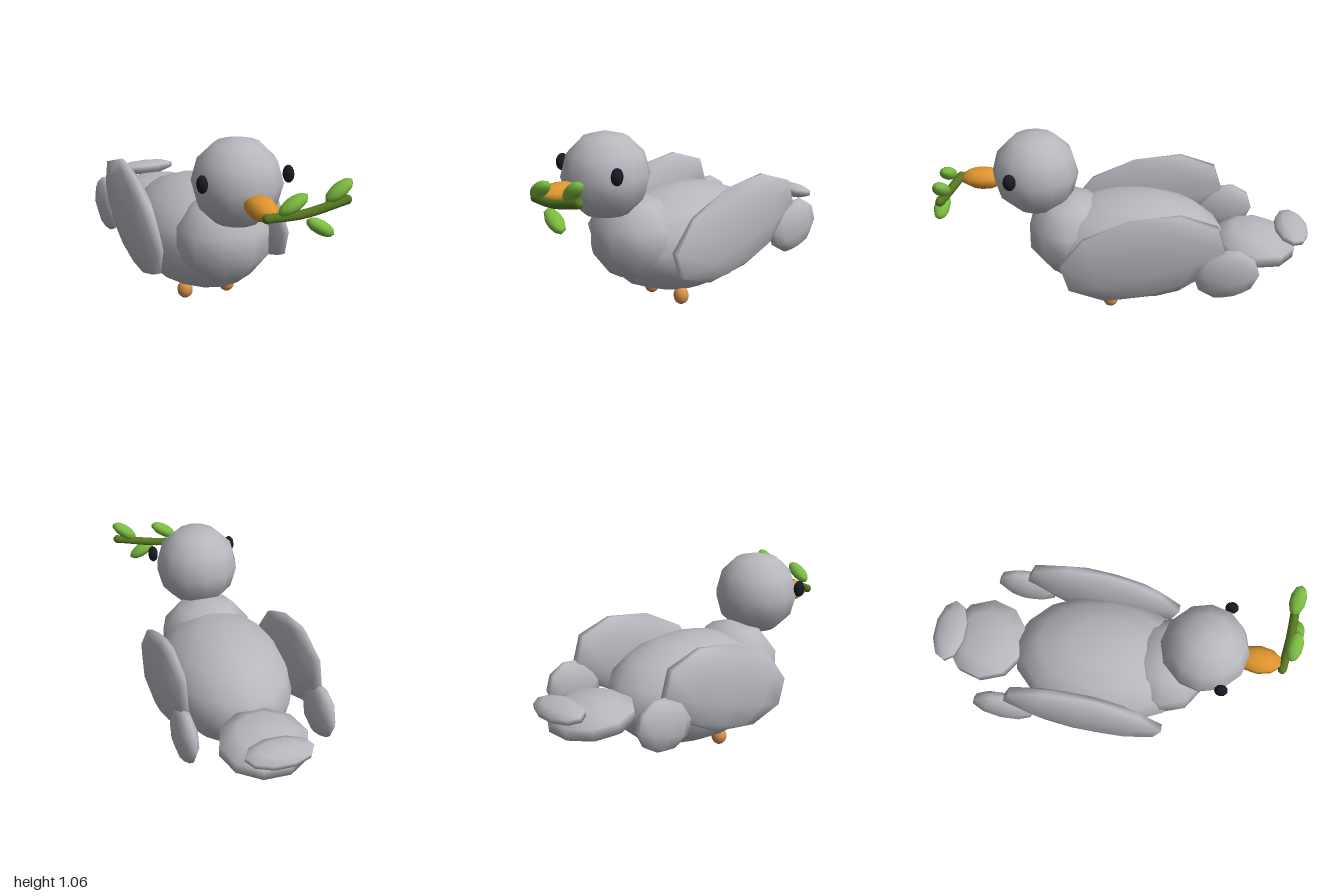
import * as THREE from 'three';

const mat = (name, color) => {
  const m = new THREE.MeshStandardMaterial({ color });
  m.name = name;
  return m;
};

export function createModel() {
  const model = new THREE.Group();
  model.name = 'bird';
  const grey = mat('feather grey', 0xb6b8be);
  const orange = mat('beak orange', 0xe0962e);
  const tan = mat('foot orange', 0xd9924c);
  const black = mat('eye black', 0x191a24);
  const leafGreen = mat('leaf green', 0x7cbc40);
  const twigGreen = mat('twig green', 0x567720);

  // Low-segment smooth ellipsoid: position, radii, rotation, segments
  const blob = (parent, name, material, pos, radii, rot = [0, 0, 0], w = 10, h = 5) => {
    const mesh = new THREE.Mesh(new THREE.SphereGeometry(1, w, h), material);
    mesh.name = name;
    mesh.position.set(...pos);
    mesh.scale.set(...radii);
    mesh.rotation.set(...rot);
    parent.add(mesh);
  };

  // The bird stands turned a little towards its left
  const bird = new THREE.Group();
  bird.name = 'birdBody';
  bird.position.set(-0.05, 0, -0.03);
  bird.rotation.y = 0.294;
  model.add(bird);

  // Torso, chest and head
  blob(bird, 'torso', grey, [0, 0.37, 0.008], [0.378, 0.31, 0.545], [0, 0, 0], 16, 8);
  blob(bird, 'chest', grey, [0, 0.435, 0.37], [0.28, 0.25, 0.255]);
  blob(bird, 'head', grey, [0, 0.817, 0.563], [0.244, 0.243, 0.246], [0, 0, 0], 12, 6);
  blob(bird, 'beak', orange, [0, 0.768, 0.865], [0.08, 0.06, 0.13]);

  // Tail and its raised tip feather
  blob(bird, 'tail', grey, [0, 0.39, -0.70], [0.258, 0.105, 0.25], [-0.12, 0, 0]);
  blob(bird, 'tailTip', grey, [-0.01, 0.48, -0.91], [0.195, 0.047, 0.103], [-0.2, 0, 0]);

  // Paired parts
  for (const [side, s] of [['left', 1], ['right', -1]]) {
    blob(bird, side + 'Wing', grey, [s * 0.375, 0.478, -0.058], [0.076, 0.25, 0.5], [0.3, 0, 0]);
    blob(bird, side + 'WingTip', grey, [s * 0.384, 0.4, -0.523], [0.064, 0.152, 0.192], [0.3, 0, 0]);
    blob(bird, side + 'Eye', black, [s * 0.241, 0.865, 0.676], [0.029, 0.048, 0.037], [0, 0, 0], 10, 8);
    blob(bird, side + 'Foot', tan, [s * 0.13, 0.052, 0.134], [0.046, 0.052, 0.045], [0, 0, 0], 10, 8);
  }

  // Leafy twig held in the beak
  const sprig = new THREE.Group();
  sprig.name = 'sprig';
  model.add(sprig);
  const path = new THREE.CatmullRomCurve3([
    new THREE.Vector3(0.208, 0.761, 0.935),
    new THREE.Vector3(0.39, 0.77, 0.905),
    new THREE.Vector3(0.62, 0.818, 0.845),
  ]);
  const twig = new THREE.Mesh(new THREE.TubeGeometry(path, 10, 0.025, 8), twigGreen);
  twig.name = 'twig';
  sprig.add(twig);
  blob(sprig, 'twigInnerEnd', twigGreen, path.getPoint(0).toArray(), [0.025, 0.025, 0.025], [0, 0, 0], 8, 6);
  blob(sprig, 'twigOuterEnd', twigGreen, path.getPoint(1).toArray(), [0.025, 0.025, 0.025], [0, 0, 0], 8, 6);
  const leaves = [
    [[0.333, 0.835, 0.945], 0.55],
    [[0.575, 0.87, 0.855], 0.65],
    [[0.475, 0.705, 0.92], -0.55],
  ];
  leaves.forEach(([pos, roll], i) =>
    blob(sprig, 'leaf' + (i + 1), leafGreen, pos, [0.087, 0.037, 0.046], [0, 0.2, roll], 10, 6));

  return model;
}
